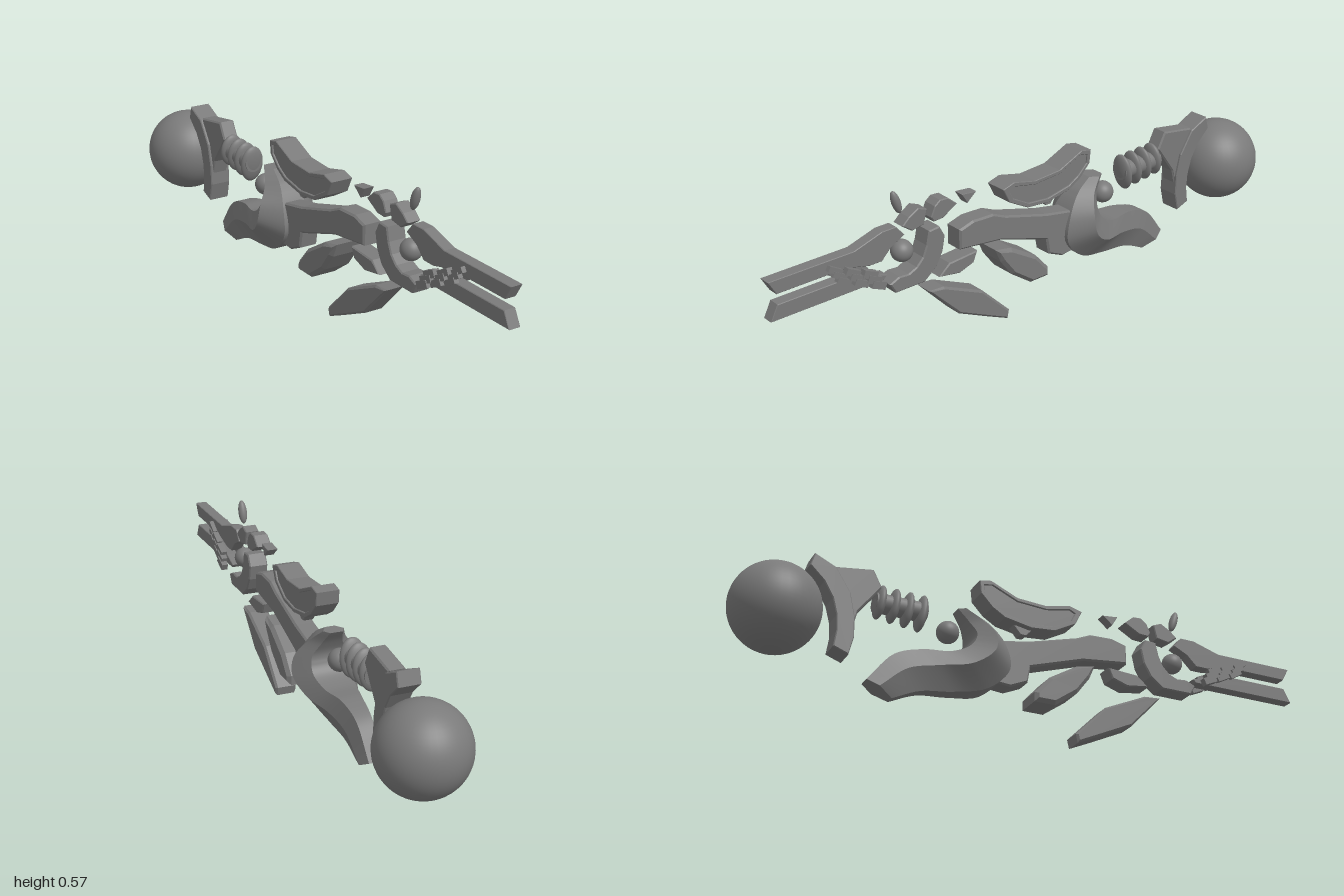
import * as THREE from 'three';
import { toCreasedNormals } from 'three/addons/utils/BufferGeometryUtils.js';

const material = new THREE.MeshStandardMaterial({ color: 0x7a7a7a });
const toVectors2 = points => points.map(p => new THREE.Vector2(...p));
const toCurve = points => new THREE.CatmullRomCurve3(points.map(p => new THREE.Vector3(...p)));

export function createModel() {
  const model = new THREE.Group();

  const add = (name, geometry, x = 0, y = 0, z = 0) => {
    const mesh = new THREE.Mesh(geometry, material);
    mesh.name = name;
    mesh.position.set(x, y, z);
    model.add(mesh);
    return mesh;
  };

  // Chamfered plate: side outline (and optional hole) given as [z, y], thickness across x
  const plate = (name, points, halfWidth, bevel = 0.006, hole = null) => {
    const shape = new THREE.Shape(toVectors2(points));
    if (hole) shape.holes.push(new THREE.Path(toVectors2(hole)));
    const geometry = new THREE.ExtrudeGeometry(shape, {
      depth: 2 * (halfWidth - bevel), bevelEnabled: true, bevelThickness: bevel,
      bevelSize: bevel, bevelOffset: -bevel, bevelSegments: 1,
    });
    geometry.translate(0, 0, -(halfWidth - bevel));
    geometry.rotateY(-Math.PI / 2);
    return add(name, geometry);
  };

  const ball = (name, radius, y, z) => add(name, new THREE.SphereGeometry(radius, 40, 28), 0, y, z);

  // Twin prongs reaching forward
  plate('upperProng', [[1, 0.43], [0.71, 0.43], [0.61, 0.46], [0.56, 0.46], [0.53, 0.425],
    [0.58, 0.4], [0.615, 0.365], [0.66, 0.365], [0.74, 0.385], [0.975, 0.385]], 0.02, 0.002);
  plate('lowerProng', [[0.975, 0.352], [0.75, 0.352], [0.66, 0.335], [0.6, 0.315], [0.61, 0.303], [1, 0.303]], 0.02, 0.002);

  // Jointed fingers on both sides of the prongs
  for (const side of [-1, 1]) {
    for (let row = 0; row < 3; row++) {
      for (let k = 0; k < 3; k++) {
        const finger = add('fingerSegment', new THREE.BoxGeometry(0.022 - k * 0.003, 0.024 - k * 0.003, 0.05),
          side * (0.041 - k * 0.004 - row * 0.003),
          0.31 + row * 0.02 + k * 0.024, 0.65 + row * 0.012 + k * 0.056);
        finger.rotation.x = -0.42 - 0.06 * k;
      }
    }
  }

  // Wrist: ball, crescent guard and loose shards
  ball('wristBall', 0.035, 0.365, 0.53);
  plate('wristGuard', [[0.6, 0.285], [0.58, 0.25], [0.47, 0.25], [0.425, 0.285], [0.4, 0.33], [0.39, 0.38],
    [0.41, 0.418], [0.45, 0.415], [0.46, 0.37], [0.475, 0.335], [0.5, 0.31], [0.53, 0.297], [0.565, 0.3]], 0.033, 0.004);
  const thumb = add('thumb', new THREE.SphereGeometry(1, 24, 16), 0, 0.528, 0.543);
  thumb.scale.set(0.015, 0.04, 0.014);
  thumb.rotation.x = 0.3;
  plate('knuckleShard', [[0.54, 0.455], [0.515, 0.478], [0.48, 0.498], [0.448, 0.485], [0.46, 0.437], [0.505, 0.43]], 0.024, 0.003);
  plate('wristShard', [[0.435, 0.452], [0.42, 0.485], [0.4, 0.5], [0.37, 0.498], [0.335, 0.468], [0.39, 0.437], [0.425, 0.435]], 0.026, 0.003);
  plate('forearmShard', [[0.312, 0.488], [0.255, 0.482], [0.275, 0.465], [0.29, 0.452]], 0.018, 0.002);

  // Forearm core
  plate('forearm', [[0.334, 0.38], [0.28, 0.395], [0.2, 0.392], [0.15, 0.37], [-0.02, 0.322], [-0.16, 0.295],
    [-0.115, 0.225], [-0.17, 0.155], [-0.09, 0.148], [-0.03, 0.175], [-0.02, 0.23], [0.17, 0.292], [0.334, 0.312]], 0.034, 0.006);
  plate('forearmLink', [[0, 0.378], [-0.075, 0.375], [-0.05, 0.345], [-0.03, 0.345]], 0.018, 0.002);

  // Forearm cover: a curved plate with a raised rim round each side panel
  const coverOutline = [[0.165, 0.465], [0.12, 0.478], [0.035, 0.458], [-0.07, 0.464], [-0.165, 0.505], [-0.205, 0.497],
    [-0.2, 0.452], [-0.16, 0.41], [-0.115, 0.383], [-0.02, 0.366], [0.065, 0.374], [0.14, 0.415]];
  plate('coverRim', coverOutline, 0.039, 0.002, [[0.14, 0.453], [0.12, 0.463], [0.035, 0.445], [-0.07, 0.451],
    [-0.16, 0.49], [-0.19, 0.484], [-0.187, 0.455], [-0.15, 0.42], [-0.11, 0.397], [-0.02, 0.38], [0.06, 0.388], [0.125, 0.424]]);
  plate('coverPanel', coverOutline, 0.033, 0.002);

  // Plates hanging under the forearm
  plate('lowerShard', [[0.415, 0.245], [0.375, 0.28], [0.265, 0.287], [0.28, 0.25], [0.335, 0.232]], 0.032, 0.004);
  plate('forearmFin', [[0.205, 0.272], [0.14, 0.26], [0.04, 0.2], [-0.013, 0.14], [-0.013, 0.108], [0.06, 0.108],
    [0.14, 0.165], [0.185, 0.225]], 0.056, 0.012);
  plate('lowerBlade', [[0.458, 0.212], [0.4, 0.208], [0.25, 0.14], [0.14, 0.03], [0.147, 0.0],
    [0.22, 0.033], [0.345, 0.092]], 0.037, 0.007);

  // Elbow: sections run from the upper hook round the ball to the tail
  const outer = toCurve([[0.035, 0.388, -0.22], [0.06, 0.35, -0.16], [0.098, 0.28, -0.112],
    [0.108, 0.2, -0.1], [0.088, 0.125, -0.17], [0.058, 0.095, -0.285], [0.044, 0.08, -0.39],
    [0.037, 0.04, -0.48]]);
  const inner = toCurve([[0, 0.388, -0.272], [0, 0.34, -0.237], [0, 0.295, -0.22],
    [0, 0.25, -0.24], [0, 0.22, -0.3], [0, 0.215, -0.39], [0, 0.185, -0.48],
    [0, 0.085, -0.565]]);
  const ring = [[0, 0.45], [0.55, 1], [1, 0.6], [1, -0.6], [0.55, -1], [0, -0.45]];
  const steps = 42, n = ring.length, pos = [], index = [];
  for (let i = 0; i <= steps; i++) {
    const o = outer.getPoint(i / steps), c = inner.getPoint(i / steps);
    for (const [t, w] of ring) pos.push(o.x * w, o.y + (c.y - o.y) * t, o.z + (c.z - o.z) * t);
    for (let j = 0; j < n && i < steps; j++) {
      const a = i * n + j, b = i * n + (j + 1) % n;
      index.push(a, a + n, b, b, a + n, b + n);
    }
  }
  for (let j = 1; j < n - 1; j++) index.push(0, j, j + 1, steps * n, steps * n + j + 1, steps * n + j);
  const elbow = new THREE.BufferGeometry();
  elbow.setAttribute('position', new THREE.Float32BufferAttribute(pos, 3));
  elbow.setIndex(index);
  add('elbowGuard', toCreasedNormals(elbow, 0.5));
  ball('elbowBall', 0.037, 0.307, -0.297);

  // Ribbed upper arm
  const core = add('upperArmCore', new THREE.CylinderGeometry(0.032, 0.032, 0.17, 24), 0, 0.358, -0.46);
  core.rotation.x = Math.PI / 2;
  for (let i = 0; i < 4; i++) {
    const rib = add('upperArmRib', new THREE.SphereGeometry(1, 28, 16), 0, 0.352 + i * 0.003, -0.39 - i * 0.046);
    rib.scale.set(0.042, 0.064 - i * 0.002, 0.018);
    rib.rotation.x = 0.12;
  }

  // Shoulder: inner block, curved shield and large ball
  plate('shoulderBlock', [[-0.53, 0.4], [-0.56, 0.457], [-0.69, 0.437], [-0.66, 0.34], [-0.63, 0.2], [-0.605, 0.3]], 0.028, 0.005);
  plate('shoulderShield', [[-0.685, 0.432], [-0.755, 0.464], [-0.768, 0.42], [-0.72, 0.375], [-0.69, 0.325],
    [-0.675, 0.27], [-0.672, 0.22], [-0.68, 0.165], [-0.63, 0.147], [-0.615, 0.21], [-0.618, 0.28], [-0.635, 0.355]], 0.037, 0.003);
  ball('shoulderBall', 0.143, 0.27, -0.857);

  return model;
}
